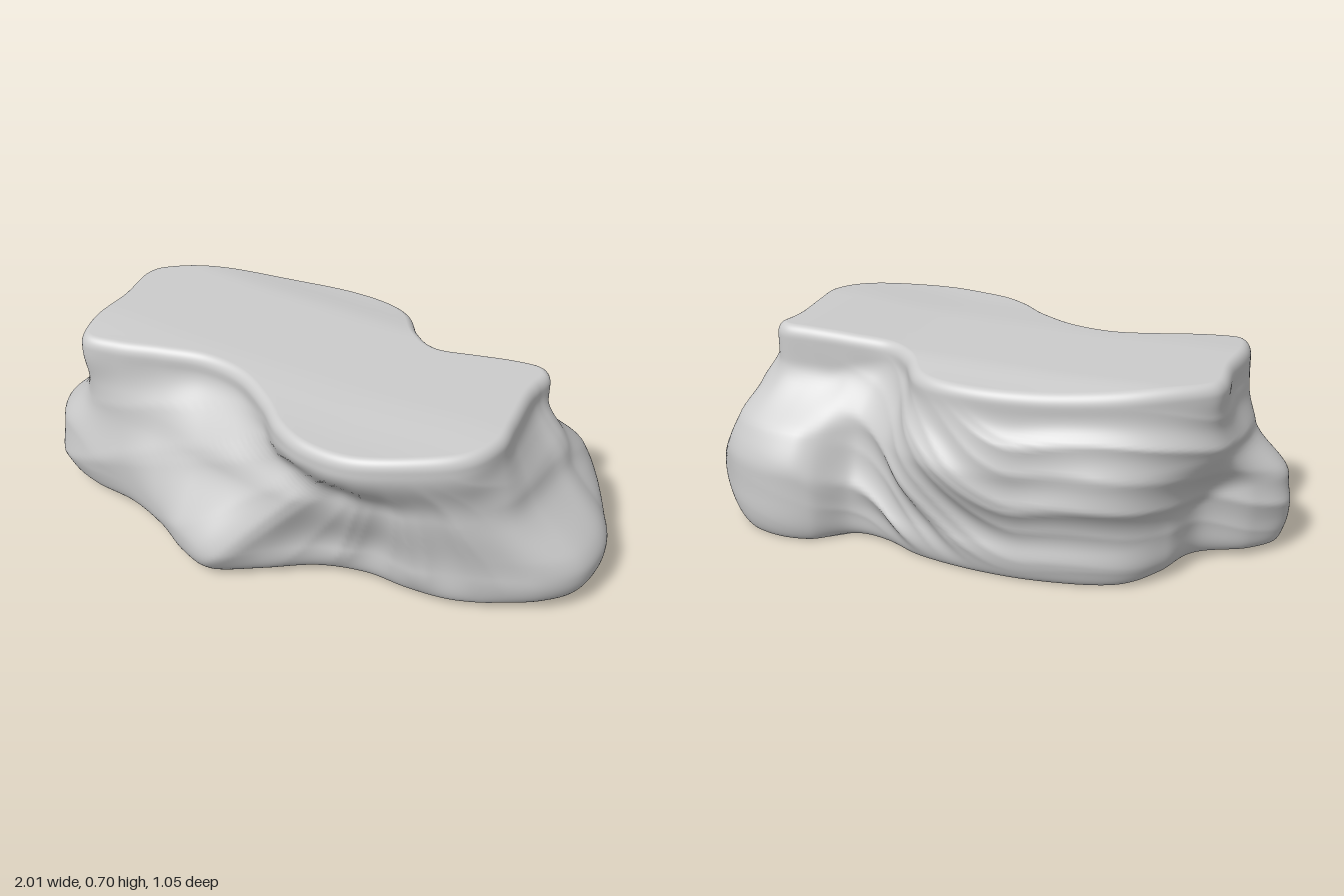
import * as THREE from 'three';

// Outlines as x, z pairs, running from +x through +z, at foot, waist and brim
const foot = [
  1, -0.1, 0.98, 0.03, 0.89, 0.13, 0.75, 0.19, 0.6, 0.25, 0.45, 0.27, 0.3, 0.27, 0.15, 0.32, 0, 0.43, -0.16, 0.525,
  -0.3, 0.5, -0.45, 0.42, -0.62, 0.36, -0.8, 0.34, -0.94, 0.28, -1, 0.15, -0.92, 0.03, -0.77, -0.07, -0.71, -0.23, -0.59, -0.36,
  -0.35, -0.43, -0.12, -0.45, 0.1, -0.43, 0.25, -0.38, 0.37, -0.38, 0.48, -0.47, 0.62, -0.495, 0.77, -0.45, 0.89, -0.34, 0.97, -0.22];
const waist = [
  0.8, -0.1, 0.79, 0.05, 0.76, 0.17, 0.66, 0.26, 0.54, 0.31, 0.43, 0.33, 0.32, 0.35, 0.2, 0.39, 0.06, 0.415, -0.11, 0.4,
  -0.3, 0.35, -0.47, 0.32, -0.63, 0.33, -0.77, 0.31, -0.86, 0.22, -0.87, 0.1, -0.86, -0.05, -0.83, -0.18, -0.7, -0.34, -0.55, -0.44,
  -0.35, -0.48, -0.1, -0.515, 0.1, -0.48, 0.23, -0.38, 0.35, -0.33, 0.47, -0.36, 0.6, -0.37, 0.72, -0.36, 0.79, -0.28, 0.81, -0.19];
const brim = [
  0.7, -0.1, 0.72, 0.05, 0.73, 0.17, 0.68, 0.29, 0.56, 0.38, 0.36, 0.465, 0.18, 0.465, 0.05, 0.41, -0.06, 0.32, -0.2, 0.24,
  -0.35, 0.22, -0.5, 0.26, -0.65, 0.31, -0.78, 0.32, -0.83, 0.2, -0.83, 0.02, -0.85, -0.14, -0.8, -0.23, -0.63, -0.34, -0.42, -0.41,
  -0.2, -0.455, -0.02, -0.455, 0.1, -0.41, 0.19, -0.3, 0.29, -0.24, 0.43, -0.255, 0.56, -0.275, 0.66, -0.28, 0.705, -0.24, 0.7, -0.17];

const AROUND = 360, UP = 80, CAP = 14;
const { lerp, smoothstep, clamp } = THREE.MathUtils;

// Smooth closed ring through an outline
function ring(outline) {
  const pts = [];
  for (let i = 0; i < outline.length; i += 2) pts.push(new THREE.Vector3(outline[i], 0, outline[i + 1]));
  const curve = new THREE.CatmullRomCurve3(pts, true, 'catmullrom', 0.5);
  return Array.from({ length: AROUND }, (_, i) => curve.getPoint(i / AROUND));
}

// Folds fanning down from a point high on the front; draped strata on the back and left end
function folds(x, y, z) {
  const ridge = p => 0.64 - Math.abs(Math.sin(p));
  const angle = Math.atan2(0.78 - y, x - 0.45);
  const spread = smoothstep(Math.hypot(x - 0.45, y - 0.78), 0.15, 0.6) * (1 - 0.75 * smoothstep(x, 0.6, 0.82));
  const front = (ridge(8 * angle + 0.4) * 0.02 + ridge(15 * angle + 3 * y) * 0.006) * spread;
  const drape = y - 0.42 * smoothstep(x, -0.3, 0.32) + 0.05 * Math.sin(5 * x + 1);
  const uneven = 0.7 + 0.3 * Math.sin(4 * x + 7 * y);
  const back = (ridge(14 * drape + 1.2 * z) * 0.026 + ridge(29 * drape - 3 * x) * 0.008) * uneven
    * (1 - 0.85 * smoothstep(x, 0.3, 0.5));
  const fade = smoothstep(y, 0.03, 0.15) * (1 - smoothstep(y, 0.5, 0.66));
  return lerp(back, front, smoothstep(z, 0.05, 0.28)) * fade;
}

const topY = (x, z) => 0.682 + 0.012 * smoothstep(-x, 0.3, 0.75) + 0.026 * smoothstep(x, 0.2, 0.65)
  - 0.015 * smoothstep(z, 0.1, 0.4) - 0.02 * smoothstep(-z, 0.25, 0.45);
const bottomY = (x, z) => 0.03 - 0.025 * smoothstep(Math.abs(z), 0.15, 0.42);

function rockGeometry() {
  const rings = [foot, waist, brim].map(ring);
  const cx = -0.03, cz = -0.02;

  // One row of the wall at height fraction v
  function wallRow(v) {
    const y = 0.02 + 0.66 * v;
    const base = rings[0].map((p, i) => {
      // The foot reaches higher at the left end and on the back lobe
      const ledge = smoothstep(-p.x, 0.6, 0.9);
      const lobe = smoothstep(p.x, 0.35, 0.55) * smoothstep(-p.z, 0.25, 0.42);
      const a = smoothstep(y, 0.15 + 0.11 * ledge + 0.1 * lobe, 0.43 + 0.12 * lobe);
      const b = smoothstep(y, 0.4 - 0.02 * lobe, 0.62 - 0.06 * lobe);
      return p.clone().lerp(rings[1][i], a).lerp(rings[2][i], b);
    });
    // Rounded lower and upper edges
    const low = clamp((0.15 - y) / 0.13, 0, 1), high = clamp((y - 0.64) / 0.04, 0, 1);
    const under = 1 - Math.sqrt(1 - low * low), over = 0.032 * (1 - Math.sqrt(1 - high * high));
    return base.map((p, i) => {
      const q = base[(i + 3) % AROUND], o = base[(i + AROUND - 3) % AROUND];
      const tx = q.x - o.x, tz = q.z - o.z, len = Math.hypot(tx, tz) || 1;
      const round = lerp(0.04, 0.1, Math.max(smoothstep(p.z, 0.2, 0.45), smoothstep(p.x, 0.7, 0.95)));
      const d = folds(p.x, y, p.z) - round * under - over;
      const x = p.x + d * tz / len, z = p.z - d * tx / len;
      return new THREE.Vector3(x, lerp(bottomY(x, z), topY(x, z), v), z);
    });
  }

  // Concentric row of a cap, s running from centre to edge
  const capRow = (edge, s, height) => edge.map(p => {
    const x = lerp(cx, p.x, s), z = lerp(cz, p.z, s);
    return new THREE.Vector3(x, height(x, z), z);
  });

  const wall = [];
  for (let j = 0; j <= UP; j++) wall.push(wallRow(0.5 - 0.5 * Math.cos(Math.PI * j / UP)));
  const rows = [];
  for (let k = 0; k < CAP; k++) rows.push(capRow(wall[0], k / CAP, bottomY));
  rows.push(...wall);
  for (let k = CAP - 1; k >= 0; k--) rows.push(capRow(wall[UP], k / CAP, topY));

  const positions = [], index = [];
  rows.forEach(r => r.forEach(p => positions.push(p.x, p.y, p.z)));
  for (let j = 0; j < rows.length - 1; j++) {
    for (let i = 0; i < AROUND; i++) {
      const n = (i + 1) % AROUND;
      const a = j * AROUND + i, b = j * AROUND + n, c = a + AROUND, d = b + AROUND;
      // The first and last rows shrink to a point, so they need one triangle each
      if (j < rows.length - 2) index.push(a, c, d);
      if (j > 0) index.push(a, d, b);
    }
  }
  const geometry = new THREE.BufferGeometry();
  geometry.setAttribute('position', new THREE.Float32BufferAttribute(positions, 3));
  geometry.setIndex(index);
  geometry.computeVertexNormals();
  return geometry;
}

export function createModel() {
  const group = new THREE.Group();
  group.name = 'flatToppedRock';
  const rock = new THREE.Mesh(rockGeometry(), new THREE.MeshStandardMaterial({ color: 0xcccccc }));
  rock.name = 'rock';
  group.add(rock);
  return group;
}
